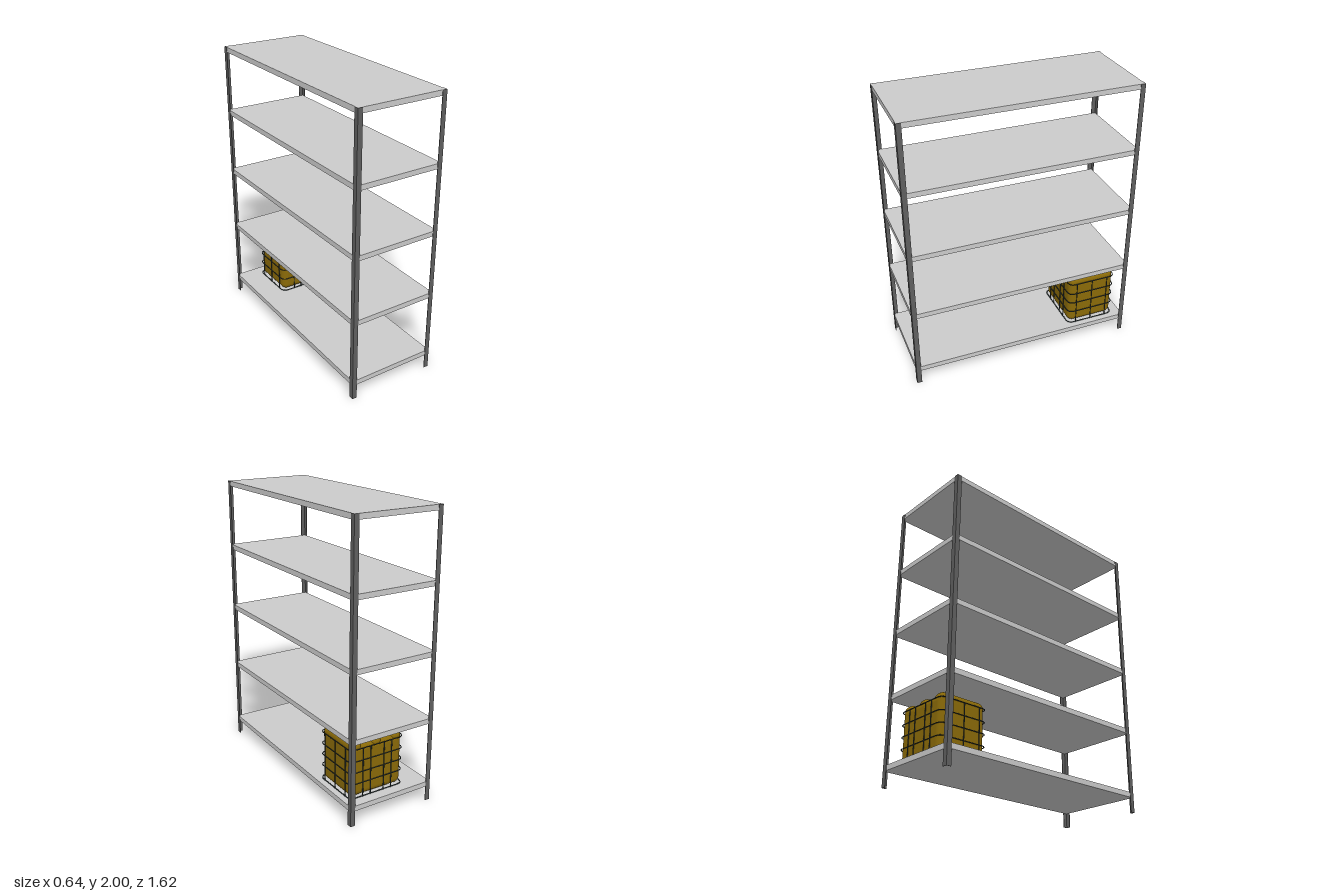
import * as THREE from 'three';
import { RoundedBoxGeometry } from 'three/addons/geometries/RoundedBoxGeometry.js';

const W = 0.32, D = 0.81, H = 2;
const shelfMat = new THREE.MeshStandardMaterial({ color: 0xcccccc });
const postMat = new THREE.MeshStandardMaterial({ color: 0x606060 });
const tankMat = new THREE.MeshStandardMaterial({ color: 0x8a6a08 });
const cageMat = new THREE.MeshStandardMaterial({ color: 0x2c3838 });

function add(parent, name, geometry, material, x = 0, y = 0, z = 0) {
  const mesh = new THREE.Mesh(geometry, material);
  mesh.name = name;
  mesh.position.set(x, y, z);
  parent.add(mesh);
  return mesh;
}

// Angle-iron post: L section with its outer corner at (sx * W, sz * D)
function postGeometry(sx, sz) {
  const f = 0.034, t = 0.004;
  const section = [[0, 0], [f, 0], [f, t], [t, t], [t, f], [0, f]]
    .map(([a, b]) => new THREE.Vector2(sx * (W - a), -sz * (D - b)));
  const g = new THREE.ExtrudeGeometry(new THREE.Shape(section), { depth: H, bevelEnabled: false });
  return g.rotateX(-Math.PI / 2);
}

// Closed horizontal wire with rounded corners
function ringGeometry(hx, hz, r, wire) {
  const path = new THREE.CurvePath();
  const v = (x, z) => new THREE.Vector3(x, 0, z);
  const corners = [[1, 1], [-1, 1], [-1, -1], [1, -1]];
  corners.forEach(([sx, sz], i) => {
    const [nx, nz] = corners[(i + 1) % 4];
    const alongX = sx !== nx;
    const corner = v(sx * hx, sz * hz), next = v(nx * hx, nz * hz);
    const inset = (sx2, sz2, onX) => v(sx2 * (hx - (onX ? r : 0)), sz2 * (hz - (onX ? 0 : r)));
    path.add(new THREE.QuadraticBezierCurve3(inset(sx, sz, !alongX), corner, inset(sx, sz, alongX)));
    path.add(new THREE.LineCurve3(inset(sx, sz, alongX), inset(nx, nz, alongX, next)));
  });
  return new THREE.TubeGeometry(path, 120, wire, 6, true);
}

function createTank() {
  const tank = new THREE.Group();
  tank.name = 'cagedTank';
  tank.position.set(0.065, 0.142, -0.555);

  // Body, with three raised ribs across the top
  add(tank, 'tankBody', new RoundedBoxGeometry(0.406, 0.37, 0.35, 6, 0.045), tankMat, 0, 0.188, 0);
  for (const x of [-0.155, 0, 0.155])
    add(tank, 'tankTopRib', new RoundedBoxGeometry(0.095, 0.12, 0.345, 6, 0.04), tankMat, x, 0.332, 0);

  // Filler cap
  add(tank, 'cap', new THREE.CylinderGeometry(0.02, 0.022, 0.02, 24), cageMat, 0, 0.394, 0);

  // Wire cage
  const hx = 0.21, hz = 0.18, wire = 0.0035, top = 0.348;
  const ring = ringGeometry(hx, hz, 0.045, wire);
  for (const y of [0.004, 0.103, 0.183, 0.263, top]) add(tank, 'cageRing', ring, cageMat, 0, y, 0);
  const bar = new THREE.CylinderGeometry(wire, wire, top, 6);
  for (const s of [-1, 1]) {
    for (const x of [-0.112, -0.052, 0.052, 0.112])
      add(tank, 'cageBar', bar, cageMat, x, top / 2, s * hz);
    for (const z of [-0.12, 0, 0.12])
      add(tank, 'cageBar', bar, cageMat, s * hx, top / 2, z);
  }
  return tank;
}

export function createModel() {
  const model = new THREE.Group();
  model.name = 'shelvingRack';

  // Corner posts
  for (const sx of [-1, 1])
    for (const sz of [-1, 1]) add(model, 'post', postGeometry(sx, sz), postMat);

  // Five evenly spaced shelves, fitted inside the posts
  const shelf = new THREE.BoxGeometry(2 * (W - 0.003), 0.036, 2 * (D - 0.003));
  for (let i = 0; i < 5; i++) add(model, 'shelf', shelf, shelfMat, 0, 0.122 + i * 0.465, 0);

  model.add(createTank());
  return model;
}
